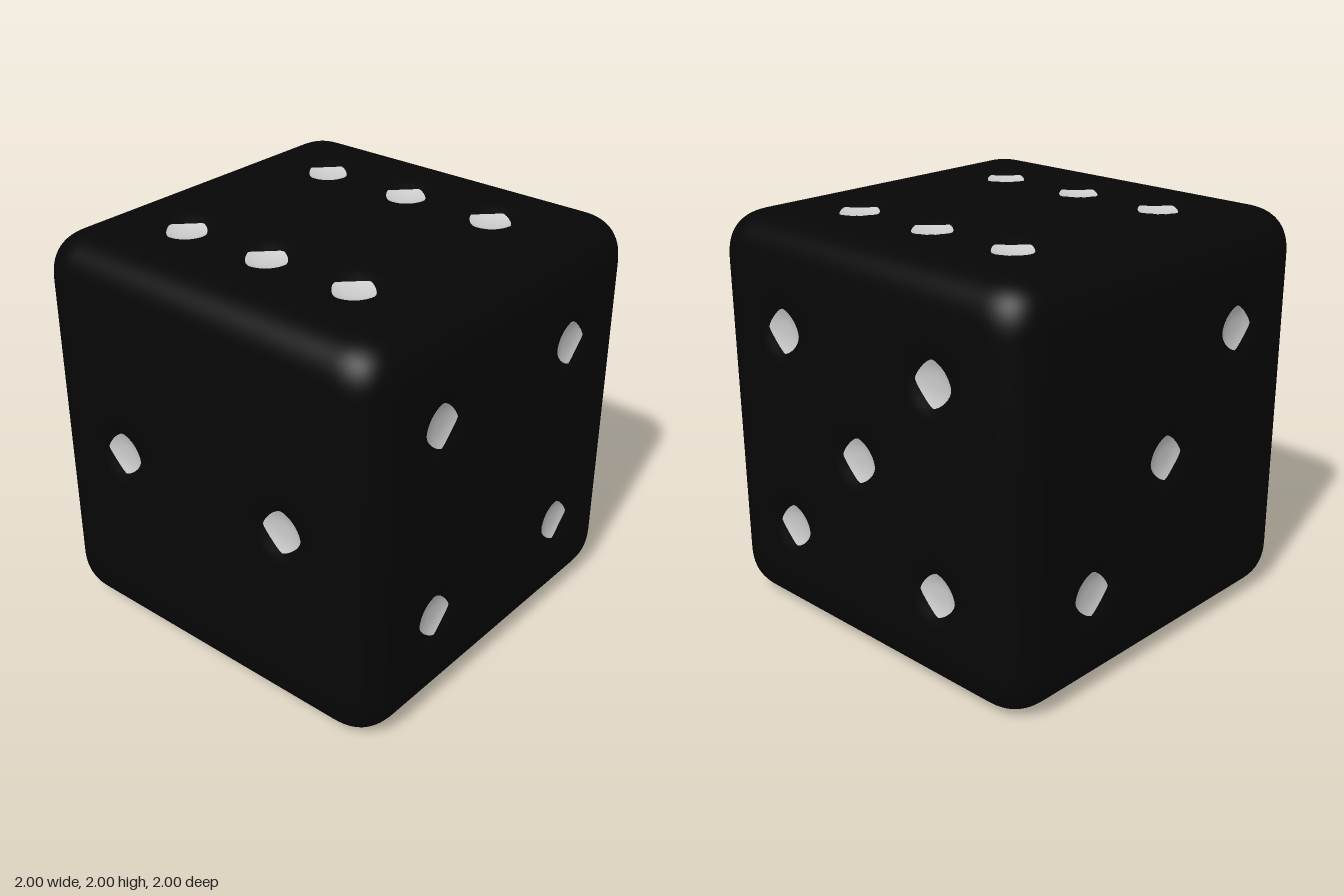
import * as THREE from 'three';
import { mergeVertices } from 'three/addons/utils/BufferGeometryUtils.js';

const EDGE = 0.24;       // reach of the rounded edges
const DENT_R = 0.17;     // radius of the dent around a pip
const DENT_DEPTH = 0.04;
const PIP_R = 0.11;      // half diagonal of a pip
const H = 0.5;           // pip spacing

// Pip centres on each face of a cube from -1 to 1
const FACES = {
  front: { normal: [0, 0, 1], pips: [[-H, H, 1], [H, H, 1], [-H, -H, 1], [H, -H, 1]] },
  back: { normal: [0, 0, -1], pips: [[H, -H, -1], [0, 0, -1], [-H, H, -1]] },
  left: { normal: [1, 0, 0], pips: [[1, H, H], [1, H, -H], [1, 0, 0], [1, -H, H], [1, -H, -H]] },
  right: { normal: [-1, 0, 0], pips: [[-1, 0, -H], [-1, 0, H]] },
  top: { normal: [0, 1, 0], pips: [-H, 0, H].flatMap((z) => [[-H, 1, z], [H, 1, z]]) },
  bottom: { normal: [0, -1, 0], pips: [[0, -1, 0]] },
};

// Depth of the smooth hollow at distance r from a pip centre
function dent(r) {
  return r < DENT_R ? DENT_DEPTH * (1 - (r / DENT_R) ** 3) ** 2 : 0;
}

// Drop uvs and normals so that shared corners weld and shade smoothly
function weld(geometry) {
  geometry.deleteAttribute('uv');
  geometry.deleteAttribute('normal');
  return mergeVertices(geometry, 1e-5);
}

// Cube with soft superelliptic edges and a hollow under each pip
function bodyGeometry() {
  const geometry = weld(new THREE.BoxGeometry(2, 2, 2, 72, 72, 72));
  const pos = geometry.attributes.position;
  const centres = Object.values(FACES).flatMap(({ normal, pips }) =>
    pips.map((p) => ({ at: new THREE.Vector3(...p), normal: new THREE.Vector3(...normal) })));
  const limit = 1 - EDGE;
  const p = new THREE.Vector3();
  for (let i = 0; i < pos.count; i++) {
    p.fromBufferAttribute(pos, i);
    const hit = centres.find((c) => c.at.distanceTo(p) < DENT_R);
    if (hit) {
      p.addScaledVector(hit.normal, -dent(hit.at.distanceTo(p)));
    } else {
      const inner = p.clone().clampScalar(-limit, limit);
      const d = p.clone().sub(inner);
      const e = 2.5;
      const norm = (Math.abs(d.x) ** e + Math.abs(d.y) ** e + Math.abs(d.z) ** e) ** (1 / e);
      p.copy(inner).addScaledVector(d, EDGE / norm);
    }
    pos.setXYZ(i, p.x, p.y, p.z);
  }
  geometry.computeVertexNormals();
  return geometry;
}

// Curved diamond that lines the bottom of a hollow, facing +z
function pipGeometry() {
  const geometry = weld(new THREE.RingGeometry(0, 1, 48, 6));
  const pos = geometry.attributes.position;
  const e = 1.4;
  for (let i = 0; i < pos.count; i++) {
    const x = pos.getX(i);
    const y = pos.getY(i);
    const r = Math.hypot(x, y);
    const norm = (Math.abs(x) ** e + Math.abs(y) ** e) ** (1 / e);
    const s = r > 1e-6 ? (PIP_R * r) / norm : 0;
    pos.setXYZ(i, x * s, y * s, 0.004 - dent(r * s));
  }
  geometry.computeVertexNormals();
  return geometry;
}

export function createModel() {
  const model = new THREE.Group();
  model.name = 'die';
  const cube = new THREE.Group();
  cube.name = 'cube';
  cube.position.y = 1;
  model.add(cube);

  const body = new THREE.Mesh(bodyGeometry(), new THREE.MeshStandardMaterial({ color: 0x060606 }));
  body.name = 'body';
  cube.add(body);

  // Pips on all six faces
  const geometry = pipGeometry();
  const material = new THREE.MeshStandardMaterial({ color: 0xcccccc });
  const forward = new THREE.Vector3(0, 0, 1);
  for (const [face, { normal, pips }] of Object.entries(FACES)) {
    const group = new THREE.Group();
    group.name = `${face}Pips`;
    for (const p of pips) {
      const pip = new THREE.Mesh(geometry, material);
      pip.name = 'pip';
      pip.position.set(...p);
      pip.quaternion.setFromUnitVectors(forward, new THREE.Vector3(...normal));
      group.add(pip);
    }
    cube.add(group);
  }
  return model;
}
